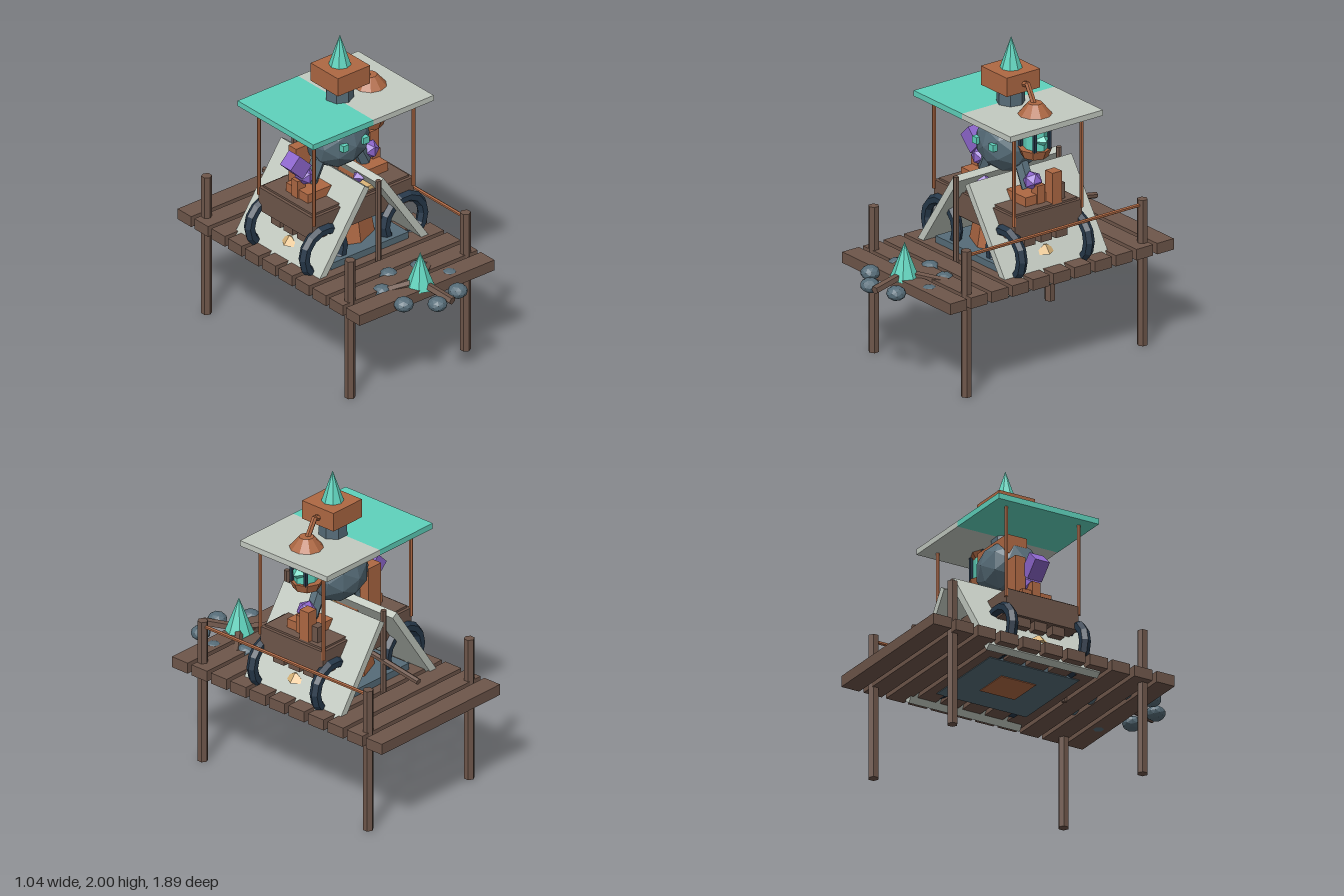
import * as THREE from 'three';

const mat = (name, color) => {
  const m = new THREE.MeshStandardMaterial({ color, flatShading: true });
  m.name = name;
  return m;
};

export function createModel() {
  const teal = mat('teal', 0x5fd2bc), pale = mat('pale board', 0xc3cac1);
  const wood = mat('dark wood', 0x6e564a), copper = mat('copper', 0xae6843);
  const slate = mat('slate', 0x566c78), navy = mat('navy iron', 0x26384a);
  const purple = mat('purple crystal', 0x8d66cc), sand = mat('sand yellow', 0xdcb67a);
  const root = new THREE.Group();
  root.name = 'dockWagon';

  const add = (name, geo, m, x = 0, y = 0, z = 0) => {
    const o = new THREE.Mesh(geo, m);
    o.name = name;
    o.position.set(x, y, z);
    root.add(o);
    return o;
  };
  const box = (name, m, w, h, d, x, y, z) => add(name, new THREE.BoxGeometry(w, h, d), m, x, y, z);
  const cyl = (name, m, rt, rb, h, n, x, y, z) => add(name, new THREE.CylinderGeometry(rt, rb, h, n), m, x, y, z);
  // Rod between two points
  const rod = (name, m, r, a, b, n = 6) => {
    const p = new THREE.Vector3(...a), q = new THREE.Vector3(...b);
    const d = q.clone().sub(p);
    const o = add(name, new THREE.CylinderGeometry(r, r, d.length(), n), m);
    o.position.copy(p).add(q).multiplyScalar(0.5);
    o.quaternion.setFromUnitVectors(new THREE.Vector3(0, 1, 0), d.normalize());
    return o;
  };

  // Dock: planks, corner posts and one side rail
  for (let i = 0; i < 11; i++) box('deckPlank', wood, 1.04, 0.07, 0.125, 0, 0.62, -0.885 + i * 0.155);
  for (const x of [-0.445, 0.445])
    for (const z of [0.55, -0.77]) cyl('dockPost', wood, 0.033, 0.033, 0.93, 6, x, 0.465, z);
  rod('sideRail', copper, 0.012, [0.445, 0.895, 0.55], [0.445, 0.895, -0.77]);

  // Tent boards leaning together, with a ridge pole at each end
  for (const s of [-1, 1]) {
    const board = box('tentBoard', pale, 0.045, 0.71, 0.77, s * 0.255, 0.855, -0.145);
    board.rotation.z = s * 0.6;
    const badge = cyl('boardBadge', sand, 0.012, 0.08, 0.05, 4, s * 0.355, 0.75, -0.11);
    badge.scale.x = 0.6;
  }
  for (const z of [0.28, -0.49]) cyl('tentPole', wood, 0.018, 0.018, 0.61, 6, 0, 0.885, z);
  rod('drawPole', wood, 0.02, [0, 0.87, -0.4], [0, 0.81, -0.77]);

  // Hearth below the wagon
  box('hearthSlab', slate, 0.6, 0.118, 0.62, 0, 0.639, -0.11);
  box('hearthFoot', copper, 0.24, 0.1, 0.24, 0, 0.625, -0.11);
  cyl('stoveBody', copper, 0.2, 0.23, 0.17, 8, 0, 0.78, -0.11);

  // Wagon body with floor joists
  box('wagonBody', wood, 0.78, 0.155, 0.5, 0, 0.935, -0.11);
  box('wagonLid', wood, 0.74, 0.03, 0.46, 0, 1.01, -0.11);
  for (const z of [0.013, -0.11, -0.225]) box('joist', wood, 0.74, 0.06, 0.085, 0, 0.83, z);

  // Wheels
  for (const x of [-0.31, 0.31])
    for (const z of [0.143, -0.36])
      add('wheel', new THREE.TorusGeometry(0.148, 0.035, 6, 14), navy, x, 0.76, z);

  // Things lying on the wagon
  for (const s of [-1, 1]) {
    box('copperTray', copper, 0.22, 0.065, 0.2, s * 0.2, 1.05, -0.1);
    box('trayBlock', copper, 0.06, 0.12, 0.055, s * 0.29, 1.08, -0.11);
    rod('arm', slate, 0.045, [s * 0.13, 1.25, -0.1], [s * 0.21, 1.09, -0.1]);
    add('crystalBall', new THREE.IcosahedronGeometry(0.06, 0), purple, s * 0.25, 1.15, -0.1);
    add('smallCrystal', new THREE.OctahedronGeometry(0.045), purple, s * 0.06, 1.09, 0.03);
  }
  box('sandTray', sand, 0.23, 0.025, 0.14, 0, 1.04, 0.04);
  box('woodBlock', wood, 0.06, 0.11, 0.055, 0.31, 1.07, -0.245);
  box('crate', copper, 0.07, 0.2, 0.07, 0.335, 1.12, -0.19);
  box('crate', copper, 0.11, 0.28, 0.07, -0.215, 1.17, -0.19);
  const cube = box('crystalCube', purple, 0.1, 0.13, 0.1, -0.31, 1.24, -0.11);
  cube.rotation.z = Math.PI / 4;

  // Round head, eyes, collar and chimney
  add('head', new THREE.IcosahedronGeometry(0.2, 1), slate, 0, 1.33, -0.11).scale.set(1.03, 0.95, 0.95);
  for (const x of [-0.08, 0.076]) box('eye', teal, 0.043, 0.043, 0.05, x, 1.347, 0.055);
  box('collar', copper, 0.33, 0.12, 0.14, 0, 1.43, -0.15);
  cyl('chimney', slate, 0.085, 0.09, 0.26, 7, 0.025, 1.57, -0.11);
  box('chimneyBox', copper, 0.25, 0.12, 0.25, 0.03, 1.742, -0.105);
  cyl('chimneySpike', teal, 0, 0.068, 0.2, 8, 0.03, 1.9, -0.11);

  // Two-tone canopy on thin posts
  box('canopyRight', teal, 0.465, 0.036, 0.695, -0.2325, 1.562, -0.1125);
  box('canopyLeft', pale, 0.465, 0.036, 0.695, 0.2325, 1.562, -0.1125);
  for (const x of [-0.385, 0.385])
    for (const z of [0.145, -0.36]) cyl('canopyPost', copper, 0.012, 0.012, 0.59, 6, x, 1.255, z);

  // Hanging lantern and its bracket
  const lx = 0.26, lz = -0.11;
  rod('lanternBracket', copper, 0.018, [0.14, 1.73, lz], [0.19, 1.745, lz]);
  rod('lanternBracket', copper, 0.018, [0.185, 1.75, lz], [lx, 1.62, lz]);
  cyl('lanternCap', copper, 0.045, 0.108, 0.075, 10, lx, 1.612, lz);
  cyl('lanternNeck', copper, 0.1, 0.06, 0.06, 8, lx, 1.535, lz);
  cyl('lanternGlass', teal, 0.085, 0.085, 0.18, 8, lx, 1.45, lz).scale.z = 0.75;
  cyl('lanternBase', copper, 0.08, 0.102, 0.055, 8, lx, 1.338, lz).rotation.x = Math.PI;
  for (const sx of [-1, 1])
    for (const sz of [-1, 1])
      box('lanternBar', navy, 0.018, 0.18, 0.018, lx + sx * 0.068, 1.45, lz + sz * 0.055);
  add('lanternCrystal', new THREE.OctahedronGeometry(0.05), teal, 0.325, 1.43, lz);

  // Campfire: ring of stones, logs and a teal flame
  const fz = 0.66;
  for (let i = 0; i < 7; i++) {
    const a = i / 7 * Math.PI * 2;
    const stone = add('fireStone', new THREE.IcosahedronGeometry(0.06, 1), slate,
      0.23 * Math.cos(a), i ? 0.632 : 0.622, fz + 0.23 * Math.sin(a));
    stone.scale.y = 0.75;
    stone.rotation.y = i;
  }
  for (let i = 0; i < 3; i++) {
    const a = 1.43 + i * Math.PI * 2 / 3;
    rod('fireLog', wood, 0.026, [0, 0.67, fz],
      [0.26 * Math.cos(a), 0.635, fz + 0.26 * Math.sin(a)], 5);
  }
  cyl('flame', teal, 0, 0.09, 0.23, 8, 0, 0.755, fz + 0.005);
  return root;
}
